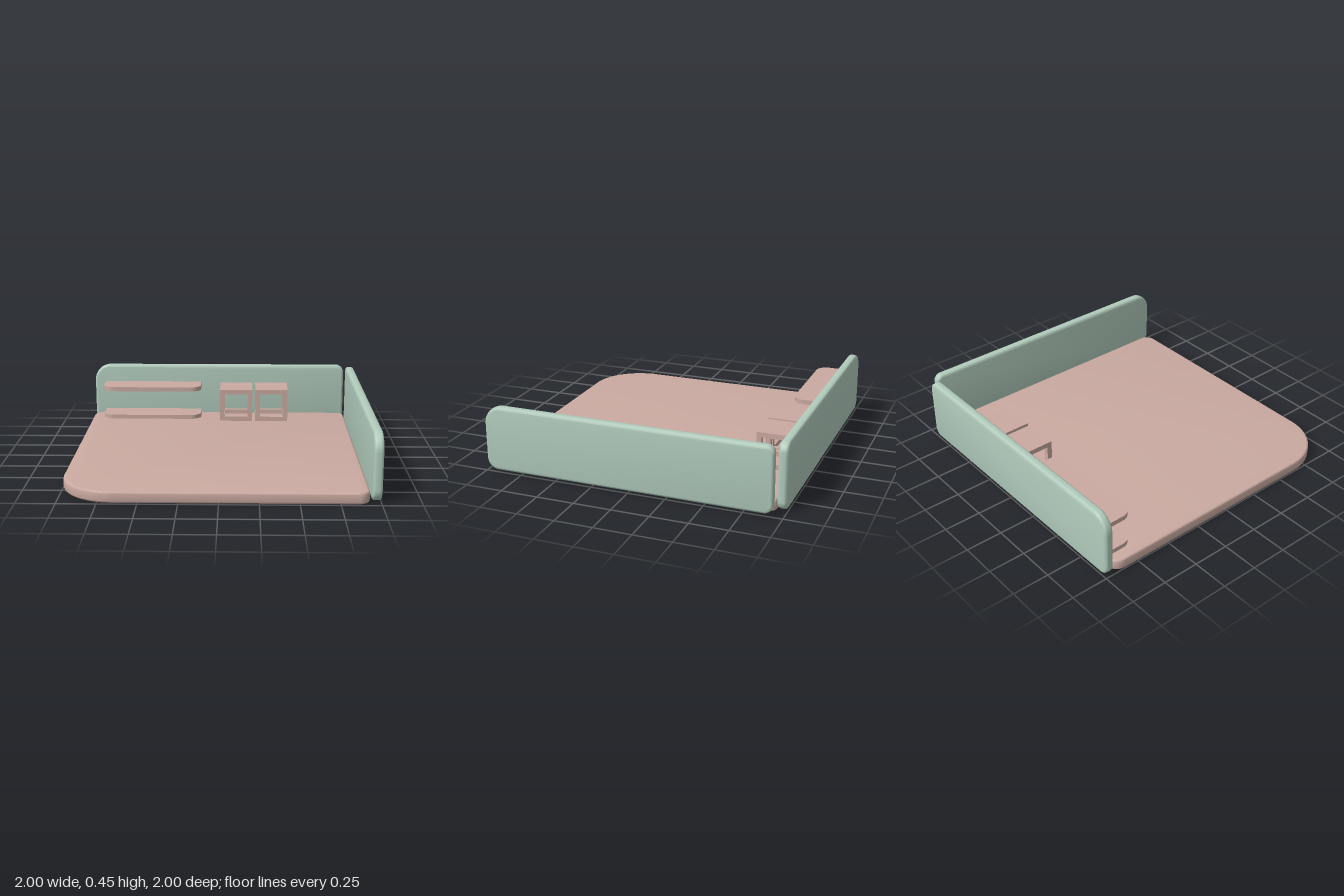
import * as THREE from 'three';
import { toCreasedNormals } from 'three/addons/utils/BufferGeometryUtils.js';

// Rectangle outline with its own radius at each corner: [lowLeft, lowRight, topRight, topLeft]
function roundedRect(x0, y0, x1, y1, [a, b, c, d]) {
  const s = new THREE.Shape(), H = Math.PI / 2;
  s.moveTo(x0 + a, y0);
  s.lineTo(x1 - b, y0);
  if (b) s.absarc(x1 - b, y0 + b, b, -H, 0);
  s.lineTo(x1, y1 - c);
  if (c) s.absarc(x1 - c, y1 - c, c, 0, H);
  s.lineTo(x0 + d, y1);
  if (d) s.absarc(x0 + d, y1 - d, d, H, 2 * H);
  s.lineTo(x0, y0 + a);
  if (a) s.absarc(x0 + a, y0 + a, a, 2 * H, 3 * H);
  return s;
}

// Plate of the given total thickness, starting at z = 0, with softened edges
function plate(shape, thickness, bevel) {
  const g = new THREE.ExtrudeGeometry(shape, {
    depth: thickness - 2 * bevel, bevelEnabled: bevel > 0, bevelThickness: bevel,
    bevelSize: bevel, bevelOffset: -bevel, bevelSegments: 3, curveSegments: 14,
  });
  g.translate(0, 0, bevel);
  return toCreasedNormals(g, 0.65);
}

export function createModel() {
  const model = new THREE.Group();
  model.name = 'trayWithWalls';
  const pink = new THREE.MeshStandardMaterial({ color: 0xcaaaa1 });
  pink.name = 'dustyPink';
  const green = new THREE.MeshStandardMaterial({ color: 0xb1cbbc });
  green.name = 'sageGreen';

  function add(name, geometry, material, parent = model) {
    const m = new THREE.Mesh(geometry, material);
    m.name = name;
    parent.add(m);
    return m;
  }

  // Floor slab with one large rounded corner at the front
  const floor = plate(roundedRect(-1, -0.99, 0.93, 0.935, [0.35, 0.07, 0.04, 0.08]), 0.075, 0.014);
  floor.rotateX(-Math.PI / 2);
  add('floor', floor, pink);

  // Back wall
  const back = plate(roundedRect(-1, 0.01, 0.93, 0.448, [0.06, 0.06, 0.06, 0.12]), 0.06, 0.018);
  back.translate(0, 0, -1);
  add('backWall', back, green);

  // Side wall, drawn in (-z, y) and extruded along +x
  const side = plate(roundedRect(-0.995, 0.01, 0.935, 0.448, [0.08, 0.06, 0.05, 0.12]), 0.06, 0.018);
  side.rotateY(Math.PI / 2);
  side.translate(0.94, 0, 0);
  add('sideWall', side, green);

  // Two shelves with rounded front corners
  [['lowerShelf', 0.073], ['upperShelf', 0.29]].forEach(([name, y]) => {
    const g = plate(roundedRect(-0.915, 0.72, -0.17, 0.925, [0.08, 0.08, 0, 0]), 0.032, 0);
    g.rotateX(-Math.PI / 2);
    g.translate(0, y, 0);
    add(name, g, pink);
  });

  // Two open cubes: solid top, four posts and a bottom rim
  const W = 0.243, D = 0.25, T = 0.034, Y0 = 0.074, H = 0.242;
  [-0.022, 0.245].forEach((x, i) => {
    const cube = new THREE.Group();
    cube.name = i ? 'rightCube' : 'leftCube';
    cube.position.set(x + W / 2, Y0, -0.795);
    model.add(cube);
    add('cubeTop', new THREE.BoxGeometry(W, T, D), pink, cube).position.y = H - T / 2;
    for (const s of [-1, 1]) {
      add('rimFrontBack', new THREE.BoxGeometry(W, T, T), pink, cube)
        .position.set(0, T / 2, s * (D - T) / 2);
      add('rimSide', new THREE.BoxGeometry(T, T, D - 2 * T), pink, cube)
        .position.set(s * (W - T) / 2, T / 2, 0);
      for (const t of [-1, 1]) {
        add('post', new THREE.BoxGeometry(T, H - 2 * T, T), pink, cube)
          .position.set(s * (W - T) / 2, H / 2, t * (D - T) / 2);
      }
    }
  });

  return model;
}
